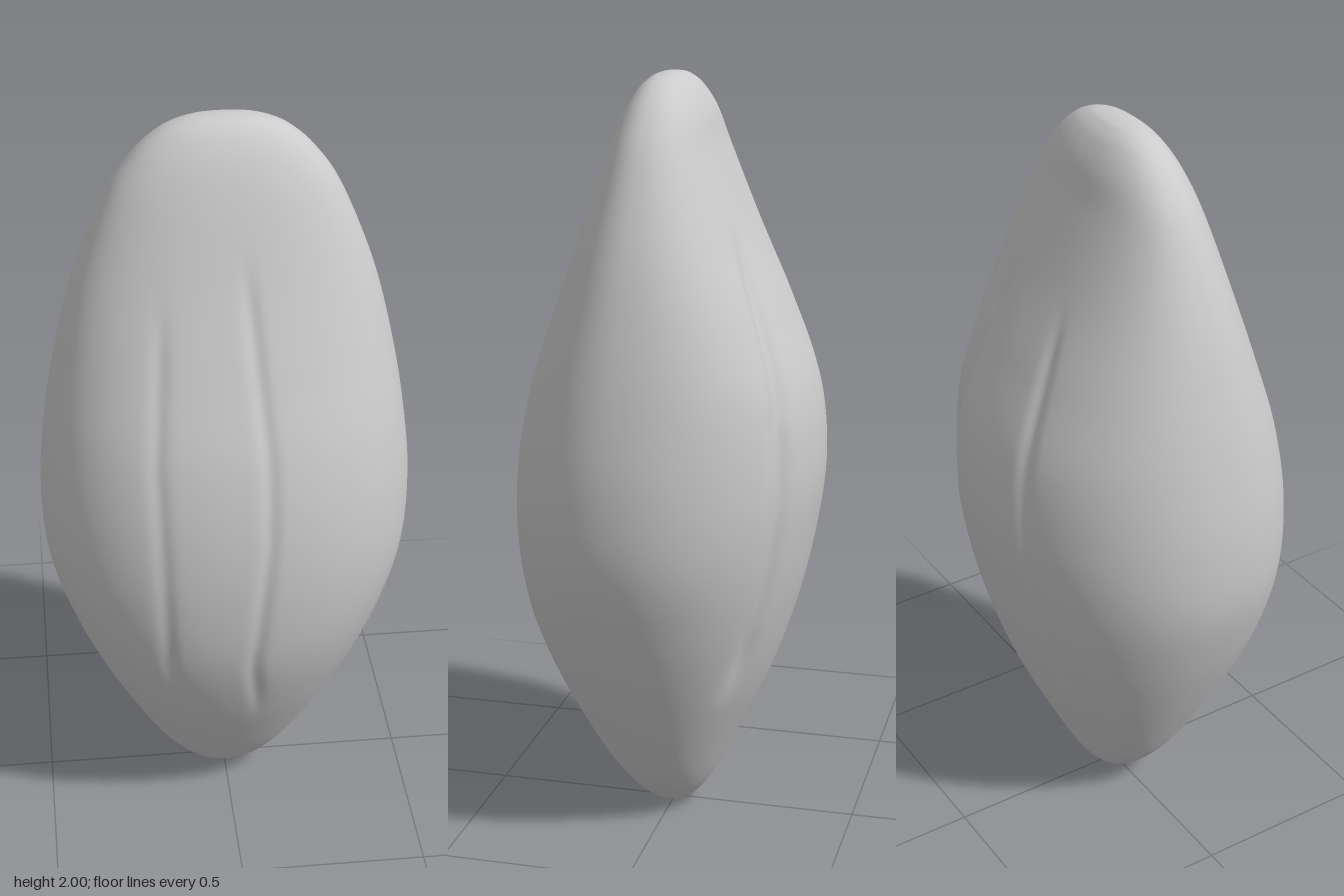
import * as THREE from 'three';

// Cross-sections from base to tip: [height, half width, front z, back z]
const SECTIONS = [
  [0, 0, 0, 0], [0.012, 0.05, 0.045, -0.043], [0.04, 0.093, 0.083, -0.075],
  [0.1, 0.153, 0.135, -0.117], [0.2, 0.222, 0.2, -0.168], [0.4, 0.328, 0.303, -0.262],
  [0.6, 0.415, 0.374, -0.331], [0.8, 0.474, 0.4, -0.377], [1, 0.485, 0.394, -0.4],
  [1.2, 0.465, 0.358, -0.378], [1.4, 0.428, 0.292, -0.3], [1.6, 0.375, 0.222, -0.21],
  [1.8, 0.294, 0.156, -0.13], [1.9, 0.228, 0.117, -0.096], [1.96, 0.163, 0.082, -0.062],
  [1.988, 0.104, 0.053, -0.033], [1.997, 0.052, 0.032, -0.012], [2, 0, 0.01, 0.01],
];

// Long shallow creases: side of the body, path as [x, y] from bottom to top
const CREASES = [
  { side: 1, depth: 0.009, width: 0.019, path: [[0.07, 0.33], [0.04, 0.6], [0.06, 0.8], [0.08, 1], [0.08, 1.2], [0.05, 1.5], [0.03, 1.74]] },
  { side: 1, depth: 0.007, width: 0.02, path: [[-0.15, 0.42], [-0.18, 0.6], [-0.19, 0.9], [-0.2, 1.2], [-0.17, 1.64]] },
  { side: -1, depth: 0.009, width: 0.02, path: [[-0.17, 0.36], [-0.17, 0.7], [-0.165, 1], [-0.15, 1.25], [-0.1, 1.62]] },
  { side: -1, depth: 0.018, width: 0.03, path: [[0.22, 0.36], [0.245, 0.6], [0.255, 0.9], [0.25, 1.15], [0.19, 1.42], [0.13, 1.66]] },
];

const heights = new THREE.CatmullRomCurve3(
  SECTIONS.map(([y]) => new THREE.Vector3(0, y, 0)), false, 'catmullrom');
const outlines = new THREE.CatmullRomCurve3(
  SECTIONS.map(([, w, f, b]) => new THREE.Vector3(w, f, b)), false, 'catmullrom');

// x position of a crease at height y, or null outside it
function creaseX(path, y) {
  for (let i = 0; i < path.length - 1; i++) {
    const [x0, y0] = path[i], [x1, y1] = path[i + 1];
    if (y >= y0 && y <= y1) return THREE.MathUtils.mapLinear(y, y0, y1, x0, x1);
  }
  return null;
}

// How far the surface is pressed in at a point
function creaseDepth(x, y, side) {
  let sum = 0;
  for (const c of CREASES) {
    if (c.side !== side) continue;
    const cx = creaseX(c.path, y);
    if (cx === null) continue;
    const y0 = c.path[0][1], y1 = c.path[c.path.length - 1][1];
    const fade = THREE.MathUtils.smoothstep(y, y0, y0 + 0.2) * (1 - THREE.MathUtils.smoothstep(y, y1 - 0.2, y1));
    sum += c.depth * fade * Math.exp(-(((x - cx) / c.width) ** 2));
  }
  return sum;
}

const signedPow = (v, p) => Math.sign(v) * Math.abs(v) ** p;

// Closed loft of rounded rings, fuller in front, with a single vertex at each end
function podGeometry(rows = 170, around = 288) {
  const positions = [0, 0, 0];
  const index = [];
  for (let r = 1; r < rows; r++) {
    const t = r / rows;
    const y = heights.getPoint(t).y;
    const { x: half, y: front, z: back } = outlines.getPoint(t);
    // depth of the widest line, and roundness of the back half
    const mid = 0.02 * Math.sin(Math.PI * y / 2) + 0.005 * y;
    const backPower = 2.05 + 0.25 * THREE.MathUtils.smoothstep(y, 1, 1.5);
    for (let k = 0; k < around; k++) {
      const a = (k / around) * Math.PI * 2;
      const isFront = k <= around / 2;
      const p = 2 / (isFront ? 2.25 : backPower);
      const c = signedPow(Math.cos(a), p), s = signedPow(Math.sin(a), p);
      const deep = isFront ? front - mid : mid - back;
      const press = creaseDepth(half * c, y, isFront ? 1 : -1);
      const n = new THREE.Vector2(c * deep, s * half).normalize();
      positions.push(half * c - n.x * press, y, mid + deep * s - n.y * press);
    }
  }
  positions.push(0, 2, 0.01);
  const tip = positions.length / 3 - 1;
  const id = (r, k) => 1 + (r - 1) * around + (k % around);
  for (let k = 0; k < around; k++) {
    index.push(0, id(1, k), id(1, k + 1));
    for (let r = 1; r < rows - 1; r++) {
      const a = id(r, k), b = id(r + 1, k), c = id(r + 1, k + 1), d = id(r, k + 1);
      index.push(a, b, d, b, c, d);
    }
    index.push(id(rows - 1, k), tip, id(rows - 1, k + 1));
  }
  const geometry = new THREE.BufferGeometry();
  geometry.setAttribute('position', new THREE.Float32BufferAttribute(positions, 3));
  geometry.setIndex(index);
  geometry.computeVertexNormals();
  return geometry;
}

export function createModel() {
  const group = new THREE.Group();
  group.name = 'seedPod';
  const body = new THREE.Mesh(podGeometry(), new THREE.MeshStandardMaterial({ color: 0xcccccc }));
  body.name = 'creasedBody';
  group.add(body);
  return group;
}
